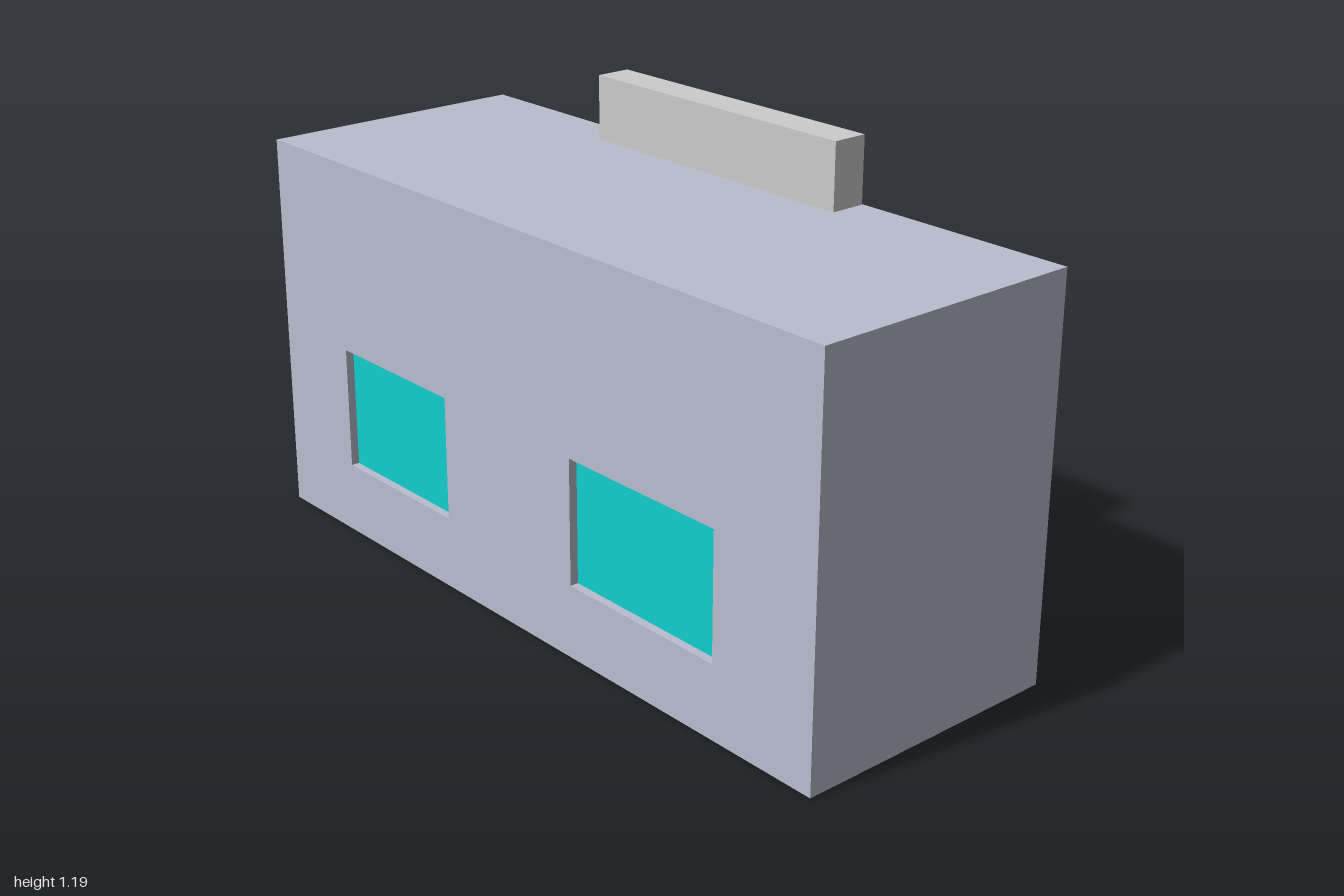
import * as THREE from 'three';

const mat = (color) => new THREE.MeshStandardMaterial({ color });

// Box given by its min and max on each axis
function block(name, material, [x0, x1], [y0, y1], [z0, z1]) {
  const mesh = new THREE.Mesh(new THREE.BoxGeometry(x1 - x0, y1 - y0, z1 - z0), material);
  mesh.position.set((x0 + x1) / 2, (y0 + y1) / 2, (z0 + z1) / 2);
  mesh.name = name;
  return mesh;
}

function rect(target, [z0, z1], [y0, y1]) {
  target.moveTo(z0, y0);
  target.lineTo(z1, y0);
  target.lineTo(z1, y1);
  target.lineTo(z0, y1);
  target.closePath();
  return target;
}

// Wall slab in the zy plane with openings, reaching from xOuter towards -x
function wall(name, material, xStart, depth, openings) {
  const shape = rect(new THREE.Shape(), [-1, 1], [0, 1.02]);
  for (const o of openings) shape.holes.push(rect(new THREE.Path(), o.z, o.y));
  const geometry = new THREE.ExtrudeGeometry(shape, { depth, bevelEnabled: false });
  geometry.rotateY(-Math.PI / 2);
  const mesh = new THREE.Mesh(geometry, material);
  mesh.position.x = xStart;
  mesh.name = name;
  return mesh;
}

export function createModel() {
  const group = new THREE.Group();
  group.name = 'shopBuilding';
  const wallMat = mat(0xb9bdcd);
  const glassMat = mat(0x12cdcd);
  const doorMat = mat(0x12d7cf);
  const signMat = mat(0xcccccc);
  const handleMat = mat(0x141414);

  const windows = [
    { z: [0.2, 0.69], y: [0.19, 0.515] },
    { z: [-0.72, -0.285], y: [0.19, 0.515] },
  ];
  const door = { z: [-0.225, 0.14], y: [0.02, 0.515] };

  // Building body with pierced front and rear walls
  group.add(block('buildingCore', wallMat, [-0.36, 0.3], [0, 1.02], [-1, 1]));
  group.add(wall('doorWall', wallMat, 0.343, 0.043, [...windows, door]));
  group.add(wall('rearWall', wallMat, -0.36, 0.033, windows));

  // Recessed panes and door
  windows.forEach((w, i) => {
    group.add(block(`doorSideWindow${i + 1}`, glassMat, [0.3, 0.311], w.y, w.z));
    group.add(block(`rearWindow${i + 1}`, glassMat, [-0.371, -0.36], w.y, w.z));
  });
  group.add(block('door', doorMat, [0.3, 0.316], door.y, door.z));

  // Sign board on the roof edge
  group.add(block('roofSign', signMat, [0.245, 0.34], [1.02, 1.19], [-0.455, 0.395]));

  // Door handle: plate, stem and lever
  const handle = new THREE.Group();
  handle.name = 'doorHandle';
  handle.add(
    block('handlePlate', handleMat, [0.316, 0.333], [0.235, 0.37], [-0.195, -0.123]),
    block('handleStem', handleMat, [0.333, 0.39], [0.302, 0.32], [-0.186, -0.153]),
    block('handleLever', handleMat, [0.371, 0.39], [0.302, 0.32], [-0.153, -0.086]),
  );
  group.add(handle);
  return group;
}
